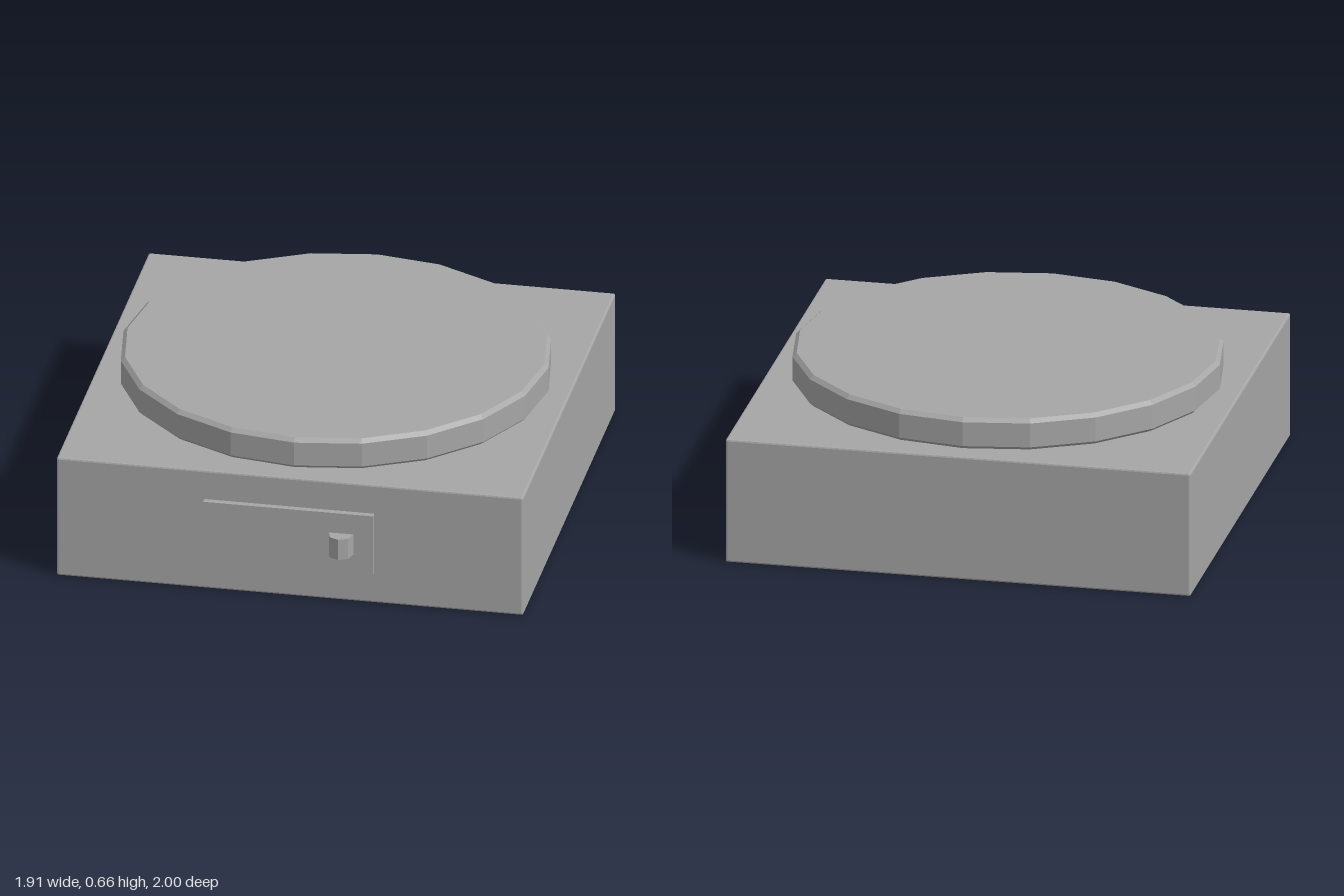
import * as THREE from 'three';
import { RoundedBoxGeometry } from 'three/addons/geometries/RoundedBoxGeometry.js';

export function createModel() {
  const model = new THREE.Group();
  model.name = 'pushButtonBox';

  const grey = new THREE.MeshStandardMaterial({ color: 0xa6a6a6, flatShading: true });
  grey.name = 'grey';

  const add = (name, geometry, x, y, z) => {
    const mesh = new THREE.Mesh(geometry, grey);
    mesh.name = name;
    mesh.position.set(x, y, z);
    model.add(mesh);
    return mesh;
  };

  // Square housing with narrow bevelled edges
  add('housing', new RoundedBoxGeometry(1.91, 0.525, 1.914, 1, 0.008), 0, 0.2625, -0.043);

  // Twenty-sided button, bevelled above and below
  const profile = [[0, 0], [0.852, 0], [0.87, 0.017], [0.87, 0.119], [0.853, 0.135], [0, 0.135]]
    .map(([r, y]) => new THREE.Vector2(r, y));
  add('button', new THREE.LatheGeometry(profile, 20), 0, 0.522, -0.043);

  // Switch plate on the front
  add('switchPlate', new THREE.BoxGeometry(0.695, 0.264, 0.03), -0.002, 0.266, 0.925);

  // Slider knob: tapered, pointed outline seen from above, extruded upwards
  const outline = new THREE.Shape([[-0.052, 0], [0.052, 0], [0.037, -0.049], [0, -0.065], [-0.037, -0.049]]
    .map(([x, y]) => new THREE.Vector2(x, y)).reverse());
  const knob = new THREE.ExtrudeGeometry(outline, { depth: 0.09, bevelEnabled: false });
  knob.rotateX(-Math.PI / 2);
  add('sliderKnob', knob, 0.215, 0.22, 0.935);

  return model;
}
